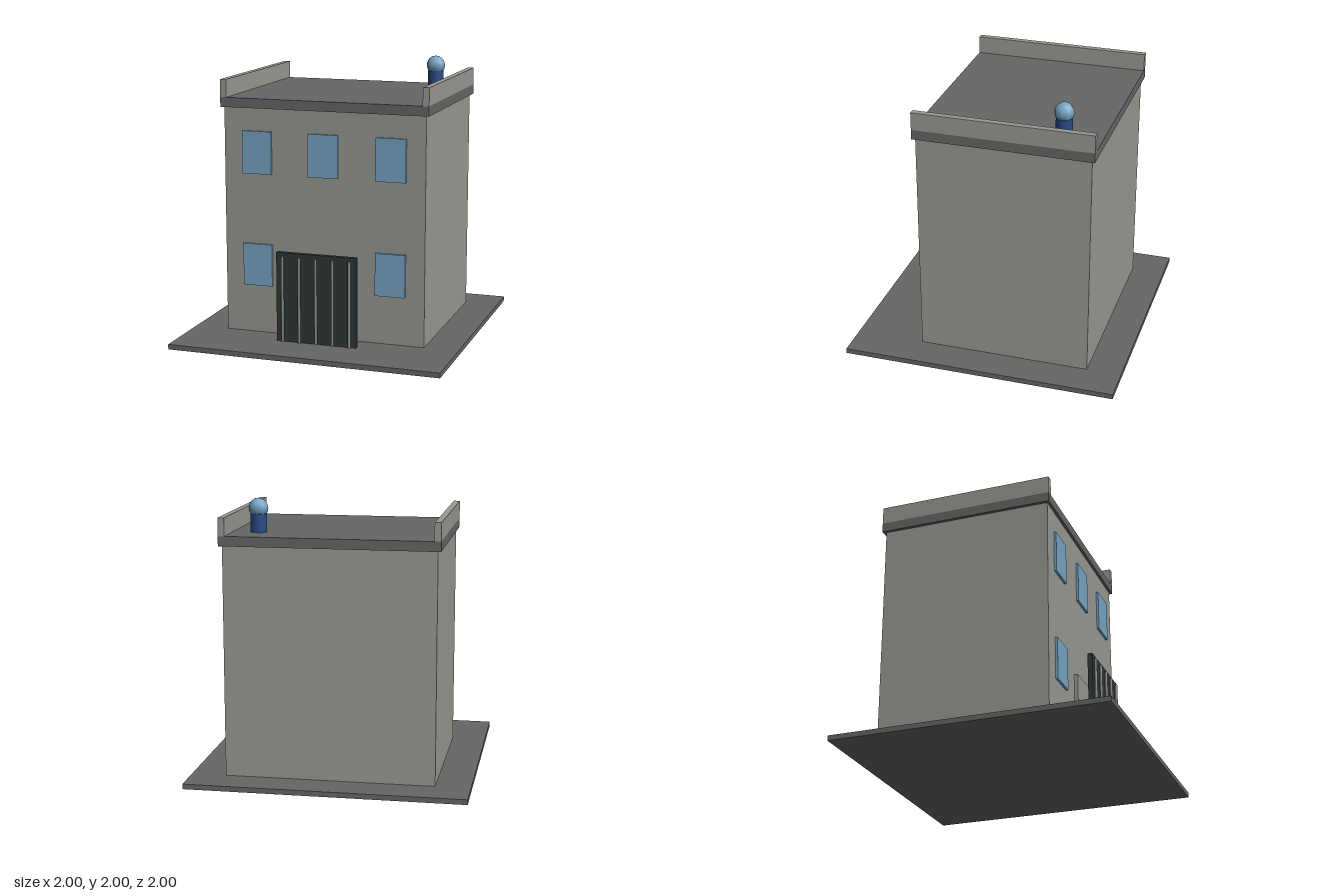
import * as THREE from 'three';

const mat = (name, color) => Object.assign(new THREE.MeshStandardMaterial({ color }), { name });

export function createModel() {
  const wall = mat('wall grey', 0x999993);
  const slab = mat('slab grey', 0x666666);
  const glass = mat('window blue', 0x76a5c4);
  const gateDark = mat('gate dark', 0x2f3737);
  const barGrey = mat('bar grey', 0x8a8a86);
  const navy = mat('post blue', 0x2a4a85);

  const model = new THREE.Group();
  model.name = 'building';

  const add = (name, geometry, material, x, y, z, parent = model) => {
    const mesh = new THREE.Mesh(geometry, material);
    mesh.name = name;
    mesh.position.set(x, y, z);
    parent.add(mesh);
    return mesh;
  };
  // Box given by its limits on each axis
  const box = (name, material, [x0, x1], [y0, y1], [z0, z1], parent) =>
    add(name, new THREE.BoxGeometry(x1 - x0, y1 - y0, z1 - z0), material,
      (x0 + x1) / 2, (y0 + y1) / 2, (z0 + z1) / 2, parent);

  // Ground, body and roof
  box('groundSlab', slab, [-1, 1], [0, 0.037], [-1, 1]);
  box('walls', wall, [-0.75, 0.75], [0.037, 1.69], [-0.75, 0.5]);
  box('roofSlab', slab, [-0.773, 0.773], [1.69, 1.76], [-0.773, 0.52]);
  for (const s of [-1, 1]) {
    add(s < 0 ? 'rightParapet' : 'leftParapet',
      new THREE.BoxGeometry(0.046, 0.128, 1.293), wall, s * 0.75, 1.824, -0.1265);
  }

  // Windows: three above, two beside the entrance
  const pane = new THREE.BoxGeometry(0.222, 0.31, 0.017);
  for (const x of [-0.5, 0, 0.5]) add('upperWindow', pane, glass, x, 1.37, 0.5085);
  for (const x of [-0.5, 0.5]) add('lowerWindow', pane, glass, x, 0.545, 0.5085);

  // Door behind the gate
  box('door', wall, [-0.2, 0.2], [0.037, 0.59], [0.5, 0.527]);

  // Free-standing gate with upright bars
  const gate = new THREE.Group();
  gate.name = 'gate';
  model.add(gate);
  box('gatePanel', gateDark, [-0.298, 0.298], [0.037, 0.69], [0.632, 0.667], gate);
  const bar = new THREE.CylinderGeometry(0.01, 0.01, 0.625, 8);
  for (let i = -2; i <= 2; i++) add('gateBar', bar, barGrey, i * 0.125, 0.35, 0.676, gate);

  // Roof lamp
  const lamp = new THREE.Group();
  lamp.name = 'roofLamp';
  model.add(lamp);
  add('lampPost', new THREE.CylinderGeometry(0.06, 0.06, 0.13, 12), navy, 0.547, 1.825, -0.5, lamp);
  add('lampGlobe', new THREE.SphereGeometry(0.071, 8, 8), glass, 0.547, 1.929, -0.5, lamp);

  return model;
}
